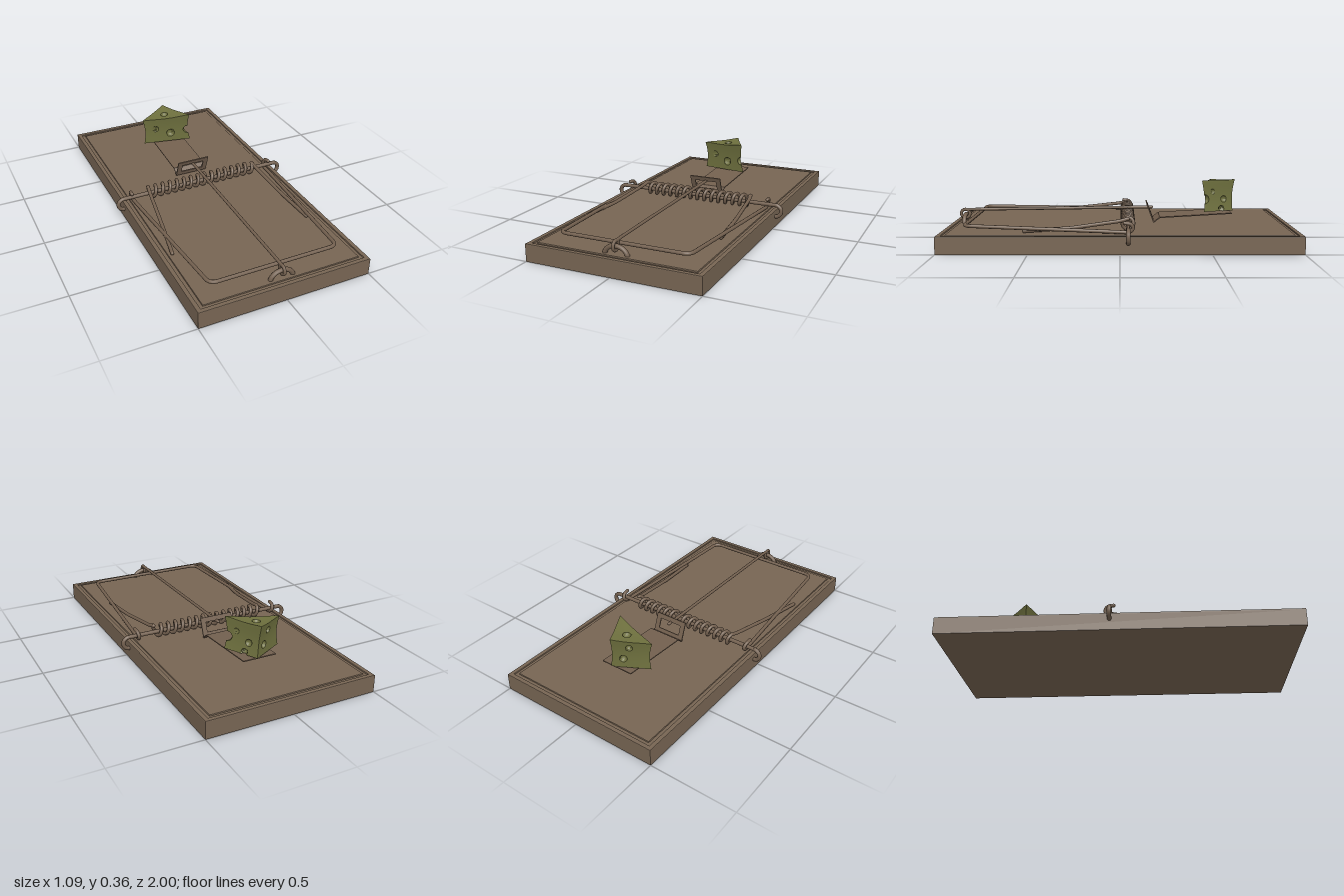
import * as THREE from 'three';
import { toCreasedNormals, mergeGeometries } from 'three/addons/utils/BufferGeometryUtils.js';

const mat = (name, color) => new THREE.MeshStandardMaterial({ name, color });
const V = (x, y, z) => new THREE.Vector3(x, y, z);

export function createModel() {
  const wood = mat('wood', 0x776553);
  const metal = mat('metal', 0x73604f);
  const cheeseMat = mat('cheese', 0x6e703e);
  const model = new THREE.Group();

  const add = (name, geometry, material) => {
    const mesh = new THREE.Mesh(geometry, material);
    mesh.name = name;
    model.add(mesh);
    return mesh;
  };

  // Round wire along a curve, with rounded ends
  const tube = (name, curve, radius, segments) => {
    const ends = [0, 1].map((t) => {
      const p = curve.getPoint(t);
      return new THREE.SphereGeometry(radius, 10, 8).translate(p.x, p.y, p.z);
    });
    return add(name, mergeGeometries([new THREE.TubeGeometry(curve, segments, radius, 10), ...ends]), metal);
  };

  // Straight wire runs with rounded bends at the inner points
  const bentWire = (name, pts, radius, bend) => {
    const path = new THREE.CurvePath();
    path.arcLengthDivisions = 600;
    let from = pts[0];
    for (let i = 1; i < pts.length; i++) {
      const p = pts[i], next = pts[i + 1];
      if (!next) { path.add(new THREE.LineCurve3(from, p)); break; }
      const b = Math.min(bend, p.distanceTo(pts[i - 1]) * 0.45, p.distanceTo(next) * 0.45);
      const a = p.clone().add(pts[i - 1].clone().sub(p).setLength(b));
      const c = p.clone().add(next.clone().sub(p).setLength(b));
      path.add(new THREE.LineCurve3(from, a));
      path.add(new THREE.QuadraticBezierCurve3(a, p, c));
      from = c;
    }
    return tube(name, path, radius, 260);
  };

  // Wooden base: block, raised rim and raised panel with a groove between
  const rect = (C, w, h) => new C([[-w, -h], [w, -h], [w, h], [-w, h]].map(([x, y]) => new THREE.Vector2(x, y)));
  const slab = (shape, y0, y1, bevel) => new THREE.ExtrudeGeometry(shape, {
    depth: y1 - y0 - bevel, bevelEnabled: bevel > 0, bevelSize: bevel, bevelThickness: bevel, bevelSegments: 2,
  }).rotateX(-Math.PI / 2).translate(0, y0, 0);
  add('baseBlock', new THREE.BoxGeometry(1, 0.092, 2).translate(0, 0.046, 0), wood);
  const rim = rect(THREE.Shape, 0.496, 0.996);
  rim.holes.push(rect(THREE.Path, 0.479, 0.979));
  add('baseRim', slab(rim, 0.09, 0.1, 0.004), wood);
  add('basePanel', slab(rect(THREE.Shape, 0.452, 0.952), 0.09, 0.1, 0.004), wood);

  // Axle whose ends hook into the sides of the base
  const axleZ = -0.045, axleY = 0.133;
  add('axle', new THREE.CylinderGeometry(0.012, 0.012, 1, 12).rotateZ(Math.PI / 2).translate(0, axleY, axleZ), metal);
  for (const s of [-1, 1]) {
    const hook = new THREE.CatmullRomCurve3([
      V(0.49, axleY, axleZ), V(0.512, 0.131, axleZ), V(0.531, 0.115, axleZ), V(0.535, 0.097, axleZ),
      V(0.53, 0.08, axleZ), V(0.512, 0.066, axleZ), V(0.48, 0.064, axleZ),
    ].map((p) => p.setX(p.x * s)));
    tube(s > 0 ? 'leftAxleHook' : 'rightAxleHook', hook, 0.012, 32);
  }

  // Coil spring with an arm at each end
  const turns = 15, coilR = 0.031, coilY = 0.141;
  class Helix extends THREE.Curve {
    getPoint(t, target = new THREE.Vector3()) {
      const a = t * turns * Math.PI * 2 + Math.PI / 2;
      return target.set((t - 0.5) * 0.69, coilY + coilR * Math.sin(a), axleZ + coilR * Math.cos(a));
    }
  }
  tube('spring', new Helix(), 0.0105, turns * 22);
  for (const s of [-1, 1]) {
    const endX = s < 0 ? 0.435 : 0.395;
    bentWire(s > 0 ? 'leftSpringArm' : 'rightSpringArm', [
      V(s * 0.345, coilY + coilR, axleZ), V(s * 0.352, 0.16, 0.0),
      V(s * (s < 0 ? 0.39 : 0.375), 0.125, 0.27), V(s * endX, 0.112, 0.53),
    ], 0.0105, 0.03);
  }

  // Snapping frame, hooked around the axle at both ends
  const half = [
    V(0.455, 0.166, -0.025), V(0.452, 0.163, -0.06), V(0.446, 0.135, -0.076), V(0.442, 0.112, -0.05),
    V(0.438, 0.115, 0.02), V(0.374, 0.137, 0.865),
  ];
  bentWire('snapFrame', [...half, ...half.slice().reverse().map((p) => V(-p.x, p.y, p.z))], 0.0105, 0.045);

  // Staple and locking bar with its eye
  const staple = new THREE.CatmullRomCurve3([
    V(-0.068, 0.085, 0.93), V(-0.06, 0.113, 0.93), V(-0.036, 0.135, 0.93), V(0, 0.143, 0.93),
    V(0.036, 0.135, 0.93), V(0.06, 0.113, 0.93), V(0.068, 0.085, 0.93),
  ]);
  tube('staple', staple, 0.013, 32);
  add('lockingBarEye', new THREE.TorusGeometry(0.026, 0.009, 8, 24).rotateY(Math.PI / 2).translate(0, 0.147, 0.932), metal);
  bentWire('lockingBar', [V(0, 0.171, 0.94), V(0, 0.173, 0.85), V(0, 0.187, -0.19)], 0.009, 0.03);

  // Trigger: bait plate, short bend and upright catch with a window
  const strip = (name, [z0, y0], [z1, y1]) => {
    const m = add(name, new THREE.BoxGeometry(0.2, 0.006, Math.hypot(z1 - z0, y1 - y0) + 0.003), metal);
    m.position.set(0, (y0 + y1) / 2, (z0 + z1) / 2);
    m.rotation.x = Math.atan2(y1 - y0, z0 - z1);
  };
  strip('baitPlate', [-0.235, 0.138], [-0.658, 0.163]);
  strip('triggerBend', [-0.2, 0.11], [-0.235, 0.138]);
  const catchShape = rect(THREE.Shape, 0.1, 0.057);
  catchShape.holes.push(rect(THREE.Path, 0.07, 0.029));
  const upright = add('triggerCatch', new THREE.ExtrudeGeometry(catchShape, { depth: 0.007, bevelEnabled: false }), metal);
  upright.position.set(0, 0.163, -0.183);
  upright.rotation.x = 0.36;

  // Cheese wedge: subdivided prism, waisted sides and scooped holes
  const bottom = [V(-0.168, 0.168, -0.567), V(0.127, 0.176, -0.492), V(0.025, 0.17, -0.675)];
  const top = [V(-0.18, 0.335, -0.563), V(0.114, 0.358, -0.48), V(0.012, 0.36, -0.685)];
  const mid = V(-0.01, 0.26, -0.578);
  const holes = [
    [-0.096, 0.266, -0.545, 0.021], [0.0, 0.23, -0.523, 0.026], [0.108, 0.248, -0.5, 0.027],
    [0.088, 0.29, -0.55, 0.018], [0.052, 0.243, -0.62, 0.021], [-0.065, 0.3, -0.622, 0.02],
    [-0.035, 0.225, -0.64, 0.022], [-0.018, 0.347, -0.582, 0.024], [0.06, 0.185, -0.6, 0.02],
  ];
  const warp = (p) => {
    const t = THREE.MathUtils.clamp((p.y - 0.168) / 0.185, 0, 1);
    const k = 1 - 0.09 * Math.sin(Math.PI * t);
    const reach = Math.hypot(p.x - mid.x, p.z - mid.z);
    p.x = mid.x + (p.x - mid.x) * k;
    p.z = mid.z + (p.z - mid.z) * k;
    p.y -= 0.012 * t * t * Math.max(0, 1 - reach / 0.14);
    for (const [x, y, z, r] of holes) {
      const c = V(x, y, z), rel = p.clone().sub(c), d = rel.length();
      if (d > r * 1.12) continue;
      if (d > r * 0.88) { p.copy(c).add(rel.setLength(r)); continue; }
      // slide inward until the point rests on the hole's far wall
      const dir = mid.clone().sub(c);
      if (Math.abs(dir.y) < 0.07) dir.y = 0;
      dir.normalize();
      const b = rel.dot(dir);
      p.addScaledVector(dir, -b + Math.sqrt(b * b - d * d + r * r));
    }
    return p;
  };
  const patch = (a, b, c, d, nu, nv) => {
    const pos = [], idx = [];
    for (let j = 0; j <= nv; j++) for (let i = 0; i <= nu; i++) {
      const p = a.clone().lerp(b, i / nu).lerp(d.clone().lerp(c, i / nu), j / nv);
      pos.push(...warp(p).toArray());
      if (i < nu && j < nv) {
        const q = j * (nu + 1) + i;
        idx.push(q, q + 1, q + nu + 2, q, q + nu + 2, q + nu + 1);
      }
    }
    const g = new THREE.BufferGeometry();
    g.setAttribute('position', new THREE.Float32BufferAttribute(pos, 3));
    g.setIndex(idx);
    return g;
  };
  const faces = [0, 1, 2].map((i) => {
    const n = (i + 1) % 3;
    return patch(bottom[i], bottom[n], top[n], top[i], 48, 40);
  });
  faces.push(patch(top[0], top[1], top[2], top[2], 48, 48));
  faces.push(patch(bottom[1], bottom[0], bottom[2], bottom[2], 48, 48));
  add('cheese', toCreasedNormals(mergeGeometries(faces), 0.6), cheeseMat);

  return model;
}
